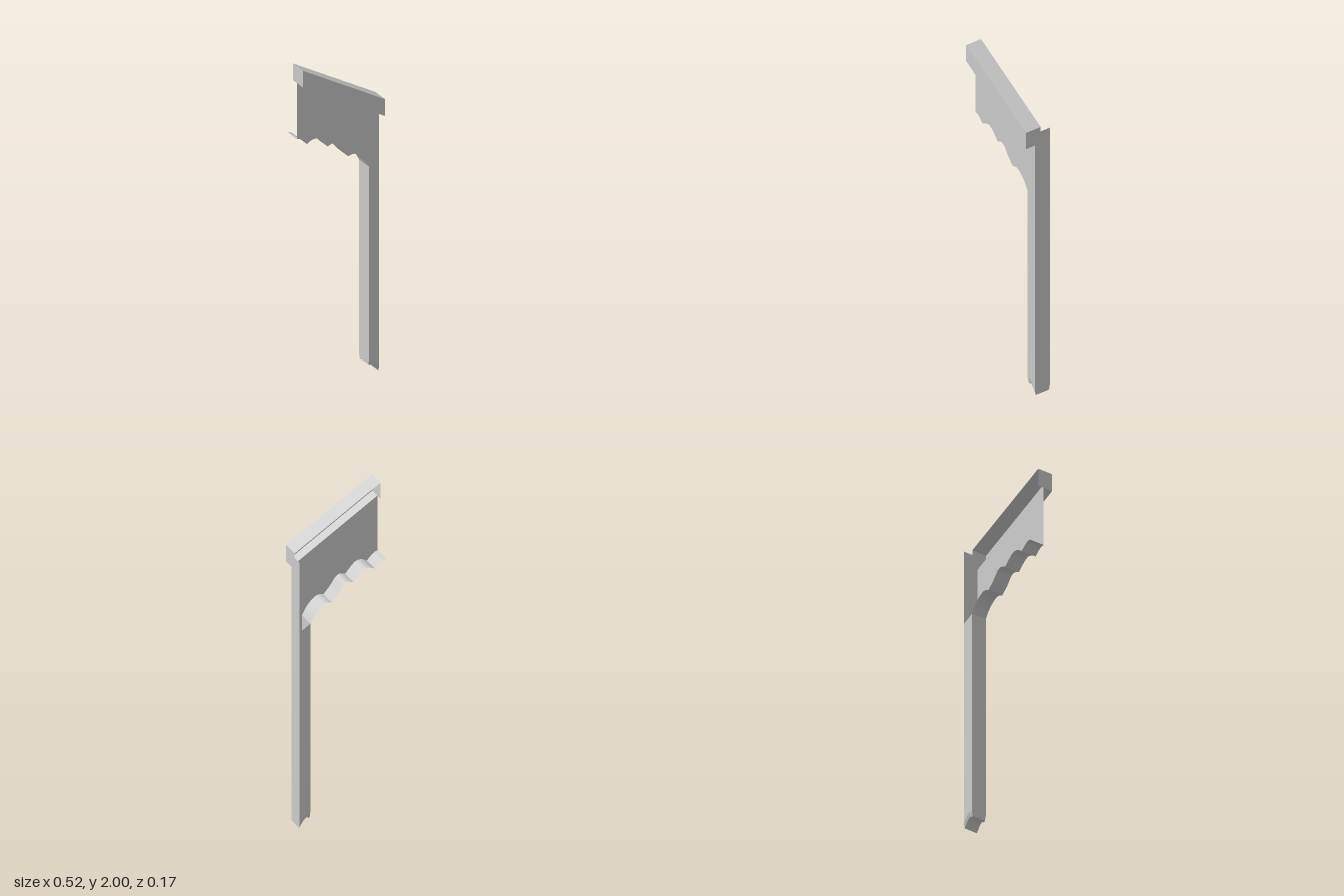
import * as THREE from 'three';

const L = -0.262, R = 0.261, POST = 0.197;          // panel ends and inner side of the post
const FRONT = 0.02, BACK = -0.083;                  // depth of panel and post
const TRIM_FRONT = 0.083, TRIM_BACK = -0.02;        // depth of the sloped trim

const material = new THREE.MeshStandardMaterial({ color: 0xcccccc, side: THREE.DoubleSide });

// Smooth sheet spanning two rows of points of equal length
function sheet(name, rowA, rowB) {
  const n = rowA.length, index = [];
  for (let i = 0; i < n - 1; i++) index.push(i, i + 1, n + i, i + 1, n + i + 1, n + i);
  const g = new THREE.BufferGeometry();
  g.setAttribute('position', new THREE.Float32BufferAttribute([...rowA, ...rowB].flat(), 3));
  g.setIndex(index);
  g.computeVertexNormals();
  const mesh = new THREE.Mesh(g, material);
  mesh.name = name;
  return mesh;
}

const atZ = (points, z, lift = 0) => points.map(([x, y]) => [x, y + lift, z]);

// Smooth 2D curve through a few points
function curve(points, steps = 14) {
  const c = new THREE.SplineCurve(points.map(([x, y]) => new THREE.Vector2(x, y)));
  return c.getPoints(steps).map((p) => [p.x, p.y]);
}

function flat(name, points) {
  const shape = new THREE.Shape(points.map(([x, y]) => new THREE.Vector2(x, y)));
  const mesh = new THREE.Mesh(new THREE.ShapeGeometry(shape), material);
  mesh.name = name;
  return mesh;
}

export function createModel() {
  const model = new THREE.Group();
  model.name = 'archBracket';

  // Scallops along the lower edge, meeting in creases
  const scallops = [
    [[L, 1.555], [-0.235, 1.545], [-0.198, 1.508]],
    [[-0.198, 1.508], [-0.17, 1.523], [-0.14, 1.526], [-0.11, 1.507], [-0.066, 1.458]],
    [[-0.066, 1.458], [-0.035, 1.468], [-0.008, 1.456], [0.025, 1.41], [0.065, 1.364]],
    [[0.065, 1.364], [0.1, 1.37], [0.135, 1.35], [0.17, 1.312], [POST, 1.265]],
  ].map((p) => curve(p));

  // Curved foot of the post; its rim tapers slightly inwards
  const foot = curve([[POST, 0.055], [0.206, 0.047], [0.215, 0.056], [0.237, 0.037], [R, 0]]);
  const RIM = 0.028, INSET = 0.006;

  // Front sheet of panel and post in one piece
  const rim = foot.map(([x, y]) => [x, y + RIM]);
  model.add(flat('frontPanel', [...scallops.flatMap((s) => s.slice(0, -1)),
    [POST, 1.265], ...rim, [R, 1.585], [L, 1.898]]));
  model.children[0].position.z = FRONT;

  // Wavy underside
  const underside = new THREE.Group();
  underside.name = 'scallopedUnderside';
  for (const s of scallops) underside.add(sheet('scallop', atZ(s, FRONT), atZ(s, BACK)));
  model.add(underside);

  // Hollow post, open above the arch at the back
  const post = new THREE.Group();
  post.name = 'post';
  const backTop = rim.map(([x]) => [x, 1.265 - 0.04 * (x - POST) / (R - POST)]);
  post.add(sheet('postBack', atZ(rim, BACK), atZ(backTop, BACK)));
  post.add(sheet('footCap', atZ(foot, FRONT - INSET), atZ(foot, BACK + INSET)));
  post.add(sheet('footRimFront', atZ(rim, FRONT), atZ(foot, FRONT - INSET)));
  post.add(sheet('footRimBack', atZ(rim, BACK), atZ(foot, BACK + INSET)));

  // Side walls, drawn as (-z, y) outlines and turned to face sideways
  const wall = (name, x, y0, top) => {
    const m = flat(name, [[-FRONT + INSET, y0], [-BACK - INSET, y0], [-BACK, y0 + RIM],
      ...top, [-FRONT, y0 + RIM]]);
    m.rotation.y = Math.PI / 2;
    m.position.x = x;
    return m;
  };
  post.add(wall('innerWall', POST, 0.055, [[-BACK, 1.265], [-FRONT, 1.265]]));
  post.add(wall('outerWall', R, 0, [[-BACK, 1.66], [-TRIM_BACK, 1.66], [-TRIM_BACK, 1.585], [-FRONT, 1.585]]));
  model.add(post);

  // Sloped trim, a shell open at the back
  const trim = new THREE.Group();
  trim.name = 'slopedTrim';
  const top = [[L, 2], [R, 1.688]], bottom = [[L, 1.898], [R, 1.585]];
  trim.add(sheet('trimTop', atZ(top, TRIM_FRONT), atZ(top, TRIM_BACK)));
  trim.add(sheet('trimFront', atZ(bottom, TRIM_FRONT), atZ(top, TRIM_FRONT)));
  trim.add(sheet('trimUnderside', atZ(bottom, TRIM_FRONT), atZ(bottom, FRONT)));
  for (const i of [0, 1]) {
    const end = [bottom[i], top[i]];
    trim.add(sheet('trimEnd', atZ(end, TRIM_FRONT), atZ(end, TRIM_BACK)));
  }
  model.add(trim);

  return model;
}
